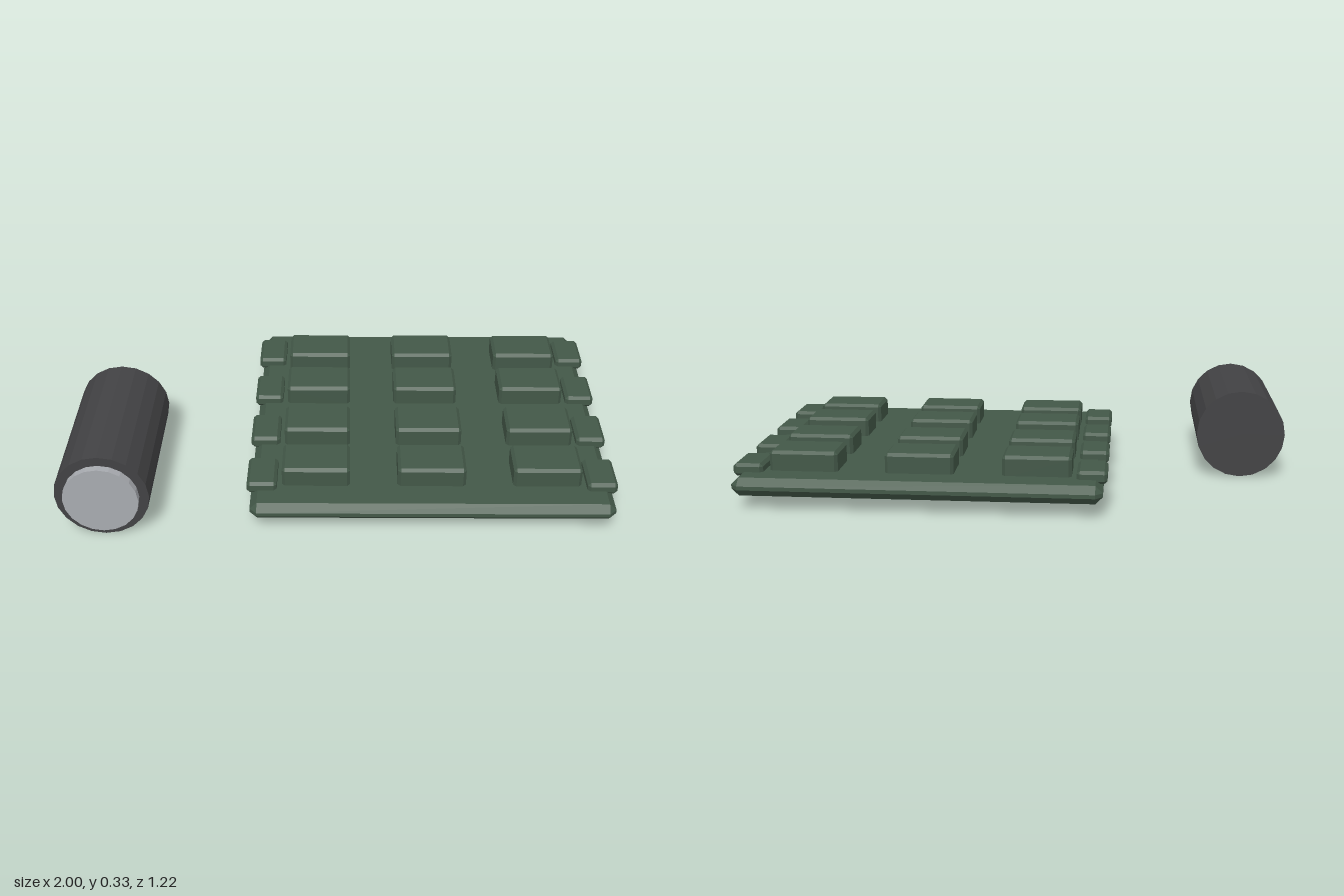
import * as THREE from 'three';
import { ConvexGeometry } from 'three/addons/geometries/ConvexGeometry.js';

const material = (color) => new THREE.MeshStandardMaterial({ color, flatShading: true });

// Box with all edges chamfered by c, given by its extents
function chamferBox(name, [x0, x1], [y0, y1], [z0, z1], c, mat) {
  const hx = (x1 - x0) / 2, hy = (y1 - y0) / 2, hz = (z1 - z0) / 2;
  const points = [];
  for (const sx of [-1, 1]) for (const sy of [-1, 1]) for (const sz of [-1, 1]) {
    points.push(
      new THREE.Vector3(sx * hx, sy * (hy - c), sz * (hz - c)),
      new THREE.Vector3(sx * (hx - c), sy * hy, sz * (hz - c)),
      new THREE.Vector3(sx * (hx - c), sy * (hy - c), sz * hz)
    );
  }
  const mesh = new THREE.Mesh(new ConvexGeometry(points), mat);
  mesh.name = name;
  mesh.position.set((x0 + x1) / 2, (y0 + y1) / 2, (z0 + z1) / 2);
  return mesh;
}

// Cylinder lying along z
function barrel(name, radius, z0, z1, mat) {
  const geometry = new THREE.CylinderGeometry(radius, radius, z1 - z0, 20);
  geometry.rotateY(Math.PI / 2);
  geometry.rotateX(Math.PI / 2);
  const mesh = new THREE.Mesh(geometry, mat);
  mesh.name = name;
  mesh.position.set(-0.833, 0.167, (z0 + z1) / 2);
  return mesh;
}

export function createModel() {
  const model = new THREE.Group();
  model.name = 'armorPlateAndScope';
  const green = material(0x435848);
  const dark = material(0x424244);
  const glass = material(0xa8abb0);

  // Chamfered base plate
  const plate = new THREE.Group();
  plate.name = 'plate';
  plate.add(chamferBox('basePlate', [-0.32, 0.983], [0.052, 0.118], [-0.61, 0.583], 0.026, green));

  // Four rows of raised blocks, with a smaller block over each side edge
  const rows = [-0.405, -0.155, 0.125, 0.375];
  const edgeRows = [-0.433, -0.155, 0.125, 0.403];
  rows.forEach((z, i) => {
    for (const x of [-0.085, 0.333, 0.749]) {
      plate.add(chamferBox('block', [x - 0.123, x + 0.123], [0.1, 0.19], [z - 0.082, z + 0.082], 0.011, green));
    }
    const e = edgeRows[i];
    for (const x of [-0.28, 0.944]) {
      plate.add(chamferBox('edgeBlock', [x - 0.054, x + 0.054], [0.102, 0.148], [e - 0.082, e + 0.082], 0.011, green));
    }
  });
  model.add(plate);

  // Separate cylinder with a pale disc standing out of its front
  const scope = new THREE.Group();
  scope.name = 'scope';
  scope.add(barrel('barrel', 0.167, 0, 0.583, dark));
  scope.add(barrel('frontDisc', 0.133, 0.57, 0.61, glass));
  model.add(scope);

  return model;
}
